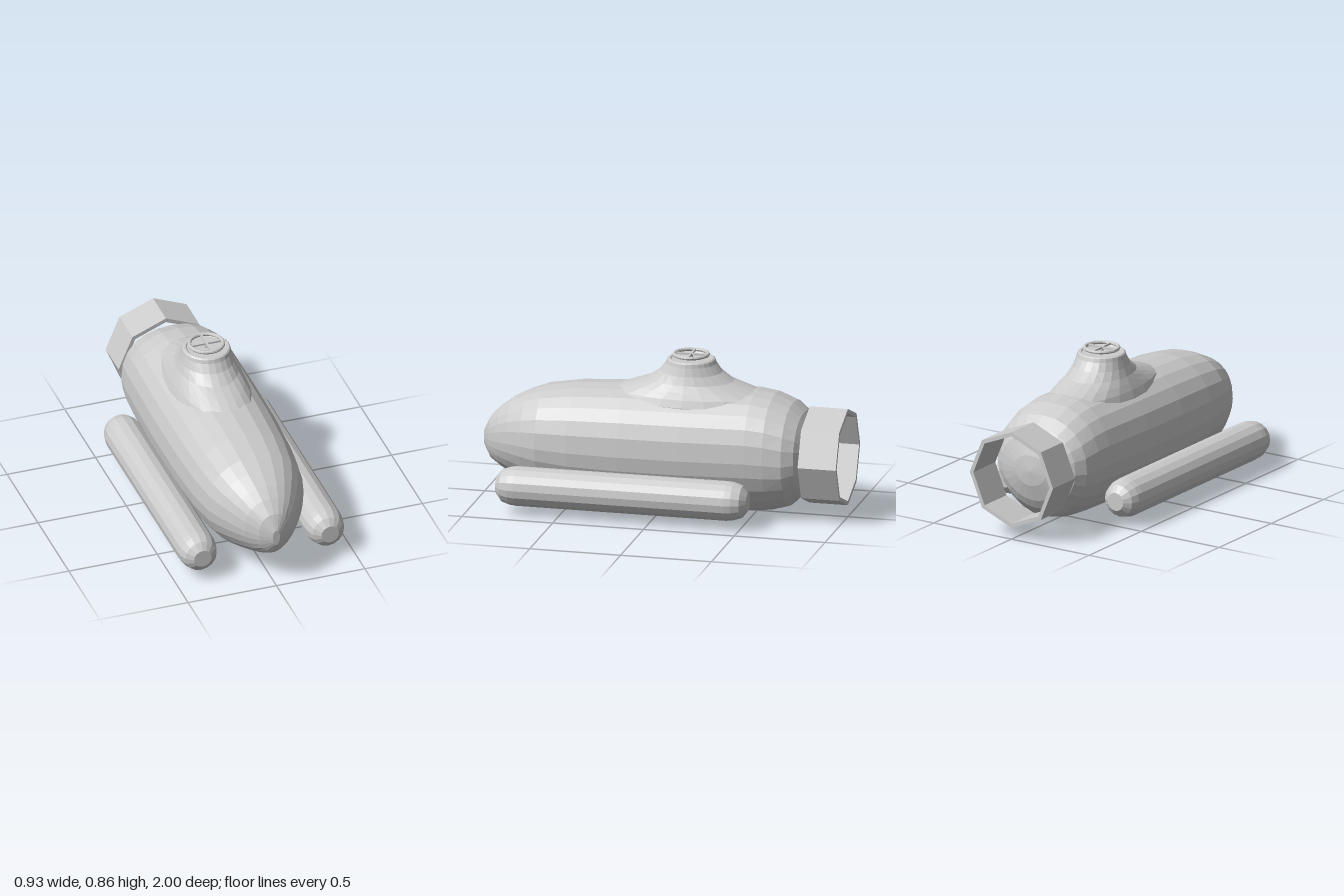
import * as THREE from 'three';

const grey = new THREE.MeshStandardMaterial({ color: 0xcccccc, flatShading: true });

function part(name, geometry, x = 0, y = 0, z = 0) {
  const mesh = new THREE.Mesh(geometry, grey);
  mesh.name = name;
  mesh.position.set(x, y, z);
  return mesh;
}

// Skin a stack of closed rings; point(station, angle) gives [x, y, z]
function loft(stations, sides, point) {
  const pos = [], index = [];
  stations.forEach((s, i) => {
    for (let j = 0; j < sides; j++) {
      pos.push(...point(s, (j / sides) * Math.PI * 2));
      if (i === stations.length - 1) continue;
      const a = i * sides + j, b = i * sides + (j + 1) % sides;
      index.push(a, b, a + sides, b, b + sides, a + sides);
    }
  });
  const g = new THREE.BufferGeometry();
  g.setAttribute('position', new THREE.Float32BufferAttribute(pos, 3));
  g.setIndex(index);
  const flat = g.toNonIndexed();
  flat.computeVertexNormals();
  return flat;
}

// Egg-shaped section: fuller above the widest line than below it
function hullPoint([z, bottom, top, w], a) {
  const s = Math.sin(a), c = Math.cos(a);
  const mid = bottom + (top - bottom) * 0.5;
  const e = c > 0 ? 2 / 2.3 : 2 / 1.9;
  const h = c > 0 ? top - mid : mid - bottom;
  return [
    w * Math.sign(s) * Math.abs(s) ** e,
    mid + h * Math.sign(c) * Math.abs(c) ** e,
    z,
  ];
}

export function createModel() {
  const model = new THREE.Group();
  model.name = 'submarine';

  // Hull stations from bow to stern: z, bottom, top, half width
  const hull = [
    [1.0, 0.3, 0.3, 0], [1.0, 0.26, 0.35, 0.02], [0.96, 0.19, 0.43, 0.085],
    [0.9, 0.15, 0.49, 0.145], [0.84, 0.12, 0.535, 0.187], [0.75, 0.085, 0.58, 0.237],
    [0.66, 0.05, 0.615, 0.272], [0.48, 0.015, 0.645, 0.297], [0.2, 0, 0.662, 0.31],
    [-0.14, 0, 0.668, 0.312], [-0.5, 0.01, 0.672, 0.305], [-0.6, 0.02, 0.657, 0.3],
    [-0.7, 0.05, 0.615, 0.285], [-0.76, 0.11, 0.565, 0.25], [-0.79, 0.16, 0.52, 0.205],
    [-0.82, 0.25, 0.42, 0.1], [-0.83, 0.335, 0.335, 0],
  ];
  model.add(part('hull', loft(hull, 24, hullPoint)));

  // Tower flaring into the hull: y, x radius, z radius; the last rings make the recessed lid
  const towerZ = -0.137;
  const tower = [
    [0.55, 0.21, 0.5], [0.6, 0.212, 0.48], [0.64, 0.197, 0.44], [0.675, 0.18, 0.34],
    [0.71, 0.162, 0.235], [0.755, 0.145, 0.17], [0.8, 0.133, 0.137], [0.82, 0.129, 0.13],
    [0.826, 0.122, 0.122], [0.826, 0.11, 0.11], [0.82, 0.104, 0.104], [0.82, 0, 0],
  ];
  model.add(part('tower', loft(tower, 24, ([y, rx, rz], a) =>
    [rx * Math.sin(a), y, rz * Math.cos(a)]), 0, 0, towerZ));

  // Hatch handwheel: rim, two crossing spokes and a stem
  const wheel = new THREE.Group();
  wheel.name = 'hatchWheel';
  wheel.position.set(0, 0.845, towerZ);
  const rim = part('wheelRim', new THREE.TorusGeometry(0.091, 0.01, 8, 24));
  rim.rotation.x = Math.PI / 2;
  wheel.add(rim, part('wheelStem', new THREE.CylinderGeometry(0.009, 0.009, 0.03, 8), 0, -0.013, 0));
  for (const turn of [0, Math.PI / 2]) {
    const spoke = part('wheelSpoke', new THREE.BoxGeometry(0.18, 0.01, 0.012));
    spoke.rotation.y = turn;
    wheel.add(spoke);
  }
  model.add(wheel);

  // Side pontoons with rounded ends
  const end = [[0, 0.69], [0.05, 0.69], [0.088, 0.66], [0.103, 0.615], [0.107, 0.58]];
  const profile = [
    ...end.map(([r, l]) => new THREE.Vector2(r, -l)),
    ...end.map(([r, l]) => new THREE.Vector2(r, l)).reverse(),
  ];
  for (const side of [1, -1]) {
    const pontoon = part(side > 0 ? 'leftPontoon' : 'rightPontoon',
      new THREE.LatheGeometry(profile, 16), side * 0.36, 0.15, 0.15);
    pontoon.rotation.x = Math.PI / 2;
    model.add(pontoon);
  }

  // Open octagonal propeller shroud
  const octagon = (r) => Array.from({ length: 8 }, (_, i) =>
    new THREE.Vector2(r * Math.cos(i * Math.PI / 4), r * Math.sin(i * Math.PI / 4)));
  const ring = new THREE.Shape(octagon(0.268));
  ring.holes.push(new THREE.Path(octagon(0.245)));
  model.add(part('propellerShroud',
    new THREE.ExtrudeGeometry(ring, { depth: 0.21, bevelEnabled: false }), 0, 0.332, -1));

  return model;
}
